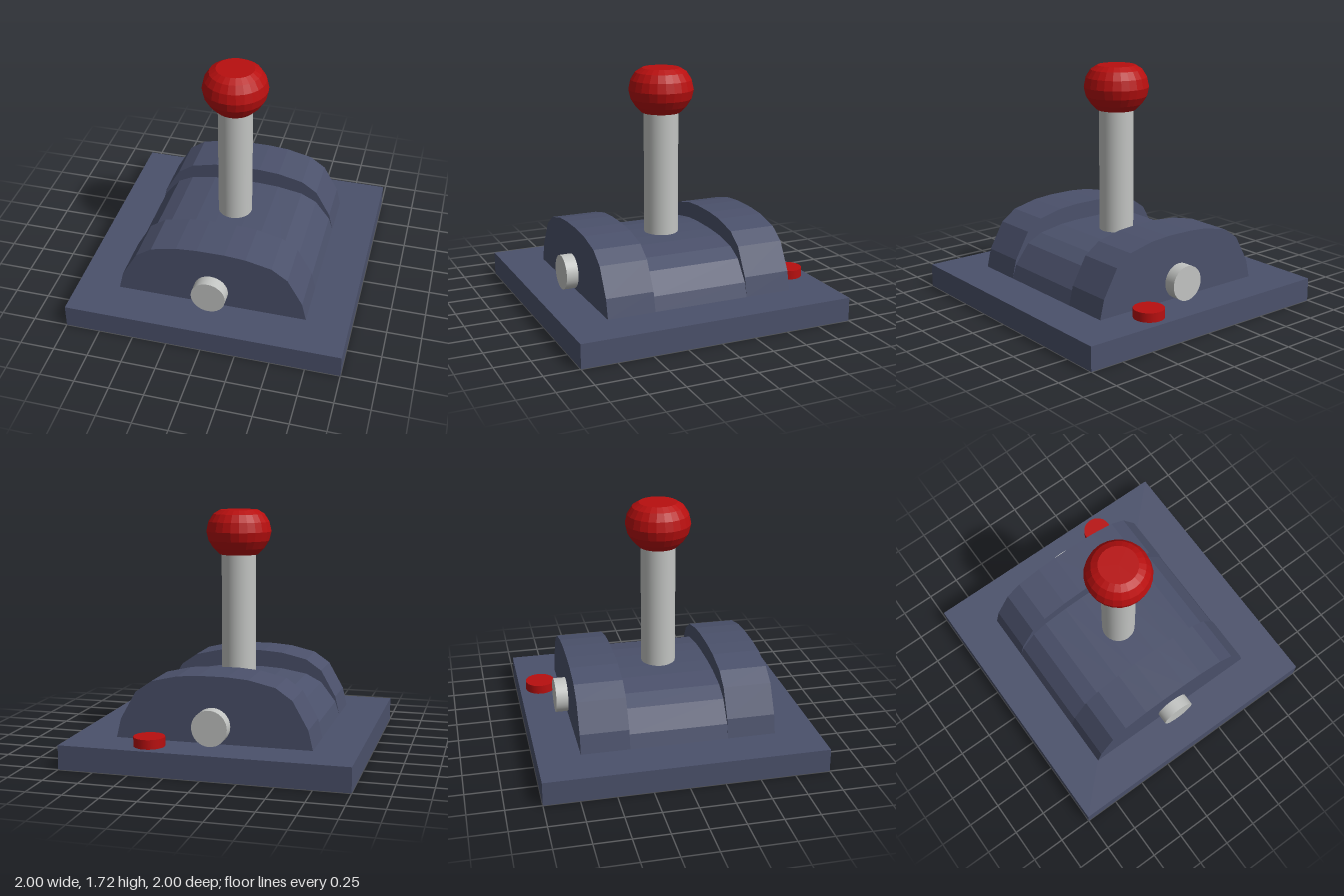
import * as THREE from 'three';

export function createModel() {
  const model = new THREE.Group();
  const mat = (name, color) => {
    const m = new THREE.MeshStandardMaterial({ color });
    m.name = name;
    return m;
  };
  const slate = mat('slate blue', 0x4b516b);
  const red = mat('red', 0xb80f0f);
  const steel = mat('light grey', 0xc2c4c2);
  const dark = mat('dark underside', 0x202026);

  const add = (name, geometry, material, x = 0, y = 0, z = 0) => {
    const mesh = new THREE.Mesh(geometry, material);
    mesh.name = name;
    mesh.position.set(x, y, z);
    model.add(mesh);
    return mesh;
  };

  // Base plate, with a dark bottom face
  const top = 0.17;
  add('basePlate', new THREE.BoxGeometry(2, top, 2),
    [slate, slate, slate, dark, slate, slate], 0, top / 2, 0);

  // Faceted arches: half outline above the plate, mirrored in x
  const half = [[0.692, 0], [0.66, 0.135], [0.55, 0.33], [0.435, 0.41], [0.25, 0.453], [0.1, 0.465]];
  const arch = (heightScale, depth) => {
    const points = [...half, ...half.map(([x, y]) => [-x, y]).reverse()];
    const shape = new THREE.Shape(points.map(([x, y]) => new THREE.Vector2(x, y * heightScale)));
    return new THREE.ExtrudeGeometry(shape, { depth, bevelEnabled: false });
  };
  add('frontArch', arch(1, 0.345), slate, 0, top, 0.35);
  add('backArch', arch(1, 0.345), slate, 0, top, -0.695);
  add('middleArch', arch(0.735, 0.7), slate, 0, top, -0.35);

  // Pivot pin ends
  for (const side of [1, -1]) {
    const pin = add(side > 0 ? 'frontPivot' : 'backPivot',
      new THREE.CylinderGeometry(0.125, 0.125, 0.2, 32), steel, 0, 0.295, side * 0.682);
    pin.rotation.x = Math.PI / 2;
  }

  // Lever shaft
  add('leverShaft', new THREE.CylinderGeometry(0.125, 0.125, 1.15, 32), steel, 0, 0.875, 0);

  // Faceted knob
  const profile = [[0, 1.4], [0.14, 1.4], [0.185, 1.445], [0.22, 1.5], [0.235, 1.565],
    [0.22, 1.635], [0.185, 1.69], [0.137, 1.72], [0, 1.72]].map(([r, y]) => new THREE.Vector2(r, y));
  const knob = new THREE.LatheGeometry(profile, 24).toNonIndexed();
  knob.computeVertexNormals();
  add('leverKnob', knob, red);

  // Push button at the back
  add('pushButton', new THREE.CylinderGeometry(0.108, 0.108, 0.065, 24), red, 0.4, top + 0.0325, -0.845);

  return model;
}
